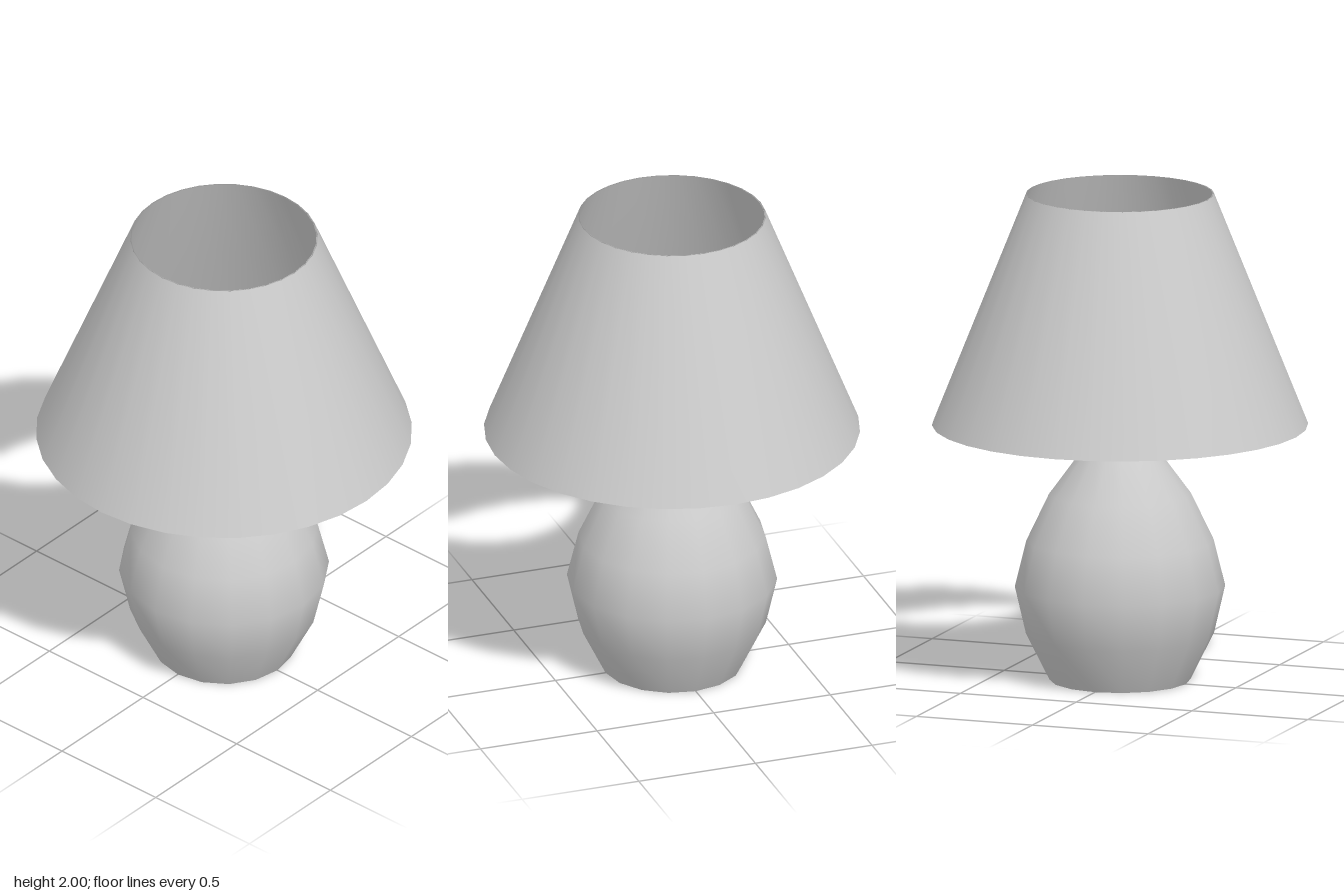
import * as THREE from 'three';

const material = new THREE.MeshStandardMaterial({ color: 0xcccccc });

// Thin-walled shell of revolution, open at both ends, from an outer profile (bottom to top).
// The closed outline starts halfway up an inner wall so the normals blend over both rims.
function shell(name, profile, wall, sides) {
  const outer = profile.map(([r, y]) => new THREE.Vector2(r, y));
  const inner = profile.map(([r, y]) => new THREE.Vector2(r - wall, y));
  const start = inner[0].clone().lerp(inner[1], 0.5);
  const outline = [start, inner[0], ...outer, ...inner.slice(1).reverse(), start.clone()];
  const mesh = new THREE.Mesh(new THREE.LatheGeometry(outline, sides), material);
  mesh.name = name;
  return mesh;
}

export function createModel() {
  const lamp = new THREE.Group();
  lamp.name = 'tableLamp';

  // Hollow, rounded body
  lamp.add(shell('base', [
    [0.285, 0], [0.38, 0.19], [0.425, 0.385],
    [0.378, 0.575], [0.287, 0.765], [0.145, 0.957],
  ], 0.006, 16));

  // Conical shade floating above the body
  lamp.add(shell('shade', [[0.76, 1.05], [0.38, 2]], 0.006, 32));

  return lamp;
}
